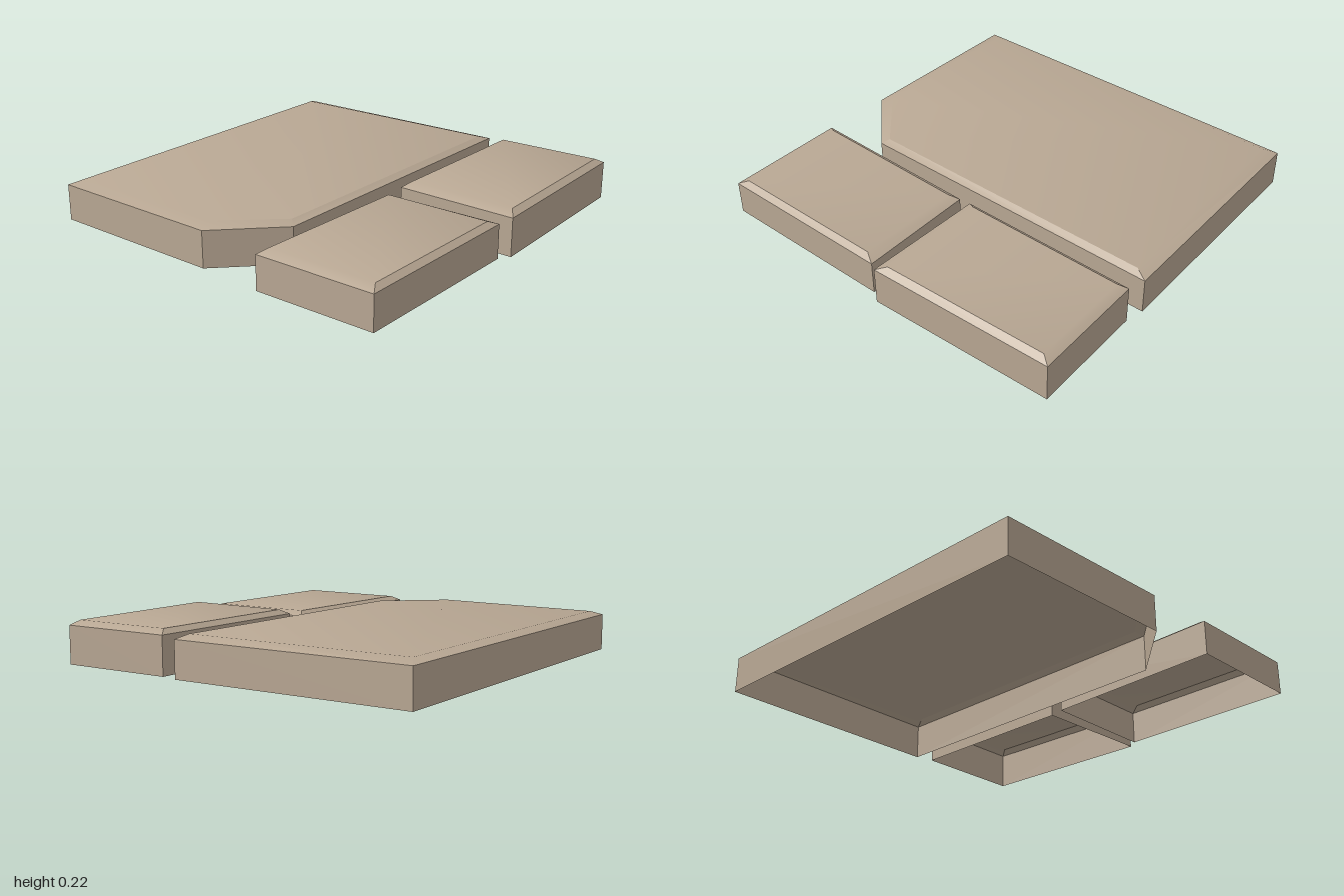
import * as THREE from 'three';
import { toCreasedNormals } from 'three/addons/utils/BufferGeometryUtils.js';

// Hollow slab: upright walls, a sloped rim and a flat top.
// Outlines are [x, z] corners, clockwise seen from above.
function slabGeometry(outer, inner, wallY, topY) {
  const n = outer.length;
  const rings = [
    outer.map(([x, z]) => [x, 0, z]),
    outer.map(([x, z]) => [x, wallY, z]),
    inner.map(([x, z]) => [x, topY, z]),
  ];
  const index = [];
  for (let r = 0; r < 2; r++) {
    for (let i = 0; i < n; i++) {
      const j = (i + 1) % n;
      const a = r * n + i, b = r * n + j, c = a + n, d = b + n;
      index.push(a, c, d, a, d, b);
    }
  }
  // Top face
  for (let i = 1; i < n - 1; i++) index.push(2 * n, 2 * n + i + 1, 2 * n + i);

  const geometry = new THREE.BufferGeometry();
  geometry.setAttribute('position', new THREE.Float32BufferAttribute(rings.flat(2), 3));
  geometry.setIndex(index);
  // Gentle slopes blend into the top, steep ones stay crisp
  return toCreasedNormals(geometry, Math.PI / 6);
}

export function createModel() {
  const stone = new THREE.MeshStandardMaterial({ color: 0xb8a793, side: THREE.DoubleSide });
  stone.name = 'stone';

  const slabs = [
    {
      name: 'largeSlab', wallY: 0.187, topY: 0.208,
      outer: [[-1, -0.96], [0.26, -1], [0.263, 0.68], [-0.03, 0.975], [-0.98, 0.965]],
      inner: [[-0.955, -0.89], [0.227, -0.935], [0.229, 0.65], [-0.055, 0.91], [-0.935, 0.90]],
    },
    {
      name: 'backSlab', wallY: 0.196, topY: 0.22,
      outer: [[0.355, -0.98], [0.963, -1], [1, -0.015], [0.355, -0.025]],
      inner: [[0.387, -0.935], [0.932, -0.955], [0.964, -0.07], [0.387, -0.075]],
    },
    {
      name: 'frontSlab', wallY: 0.175, topY: 0.198,
      outer: [[0.34, 0.053], [0.963, 0.04], [0.963, 0.995], [0.322, 1]],
      inner: [[0.372, 0.10], [0.932, 0.095], [0.932, 0.945], [0.355, 0.95]],
    },
  ];

  const group = new THREE.Group();
  group.name = 'pavingStones';
  for (const { name, outer, inner, wallY, topY } of slabs) {
    const mesh = new THREE.Mesh(slabGeometry(outer, inner, wallY, topY), stone);
    mesh.name = name;
    group.add(mesh);
  }
  return group;
}
